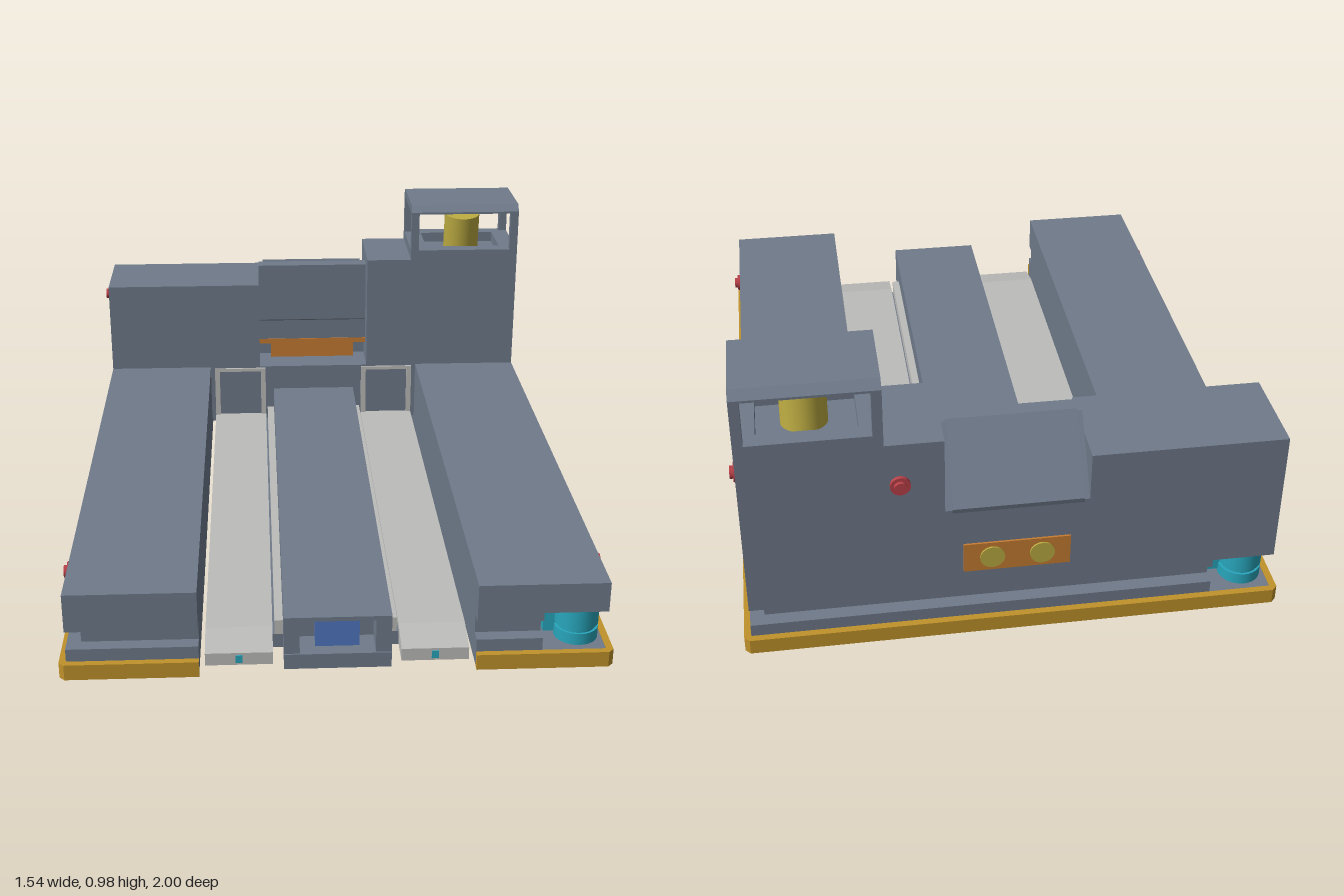
import * as THREE from 'three';

const mat = (name, color) => {
  const m = new THREE.MeshStandardMaterial({ color });
  m.name = name;
  return m;
};

export function createModel() {
  const root = new THREE.Group();
  root.name = 'forkliftRobot';
  const grey = mat('slate body', 0x6f7a8a);
  const amber = mat('amber bumper', 0xc0922a);
  const light = mat('light grey fork', 0xbcbcba);
  const orange = mat('orange', 0xc67c32);
  const yellow = mat('yellow lamp', 0xbcab42);
  const cyan = mat('cyan scanner', 0x28a6bc);
  const blue = mat('blue', 0x5076c0);
  const red = mat('red button', 0xb84048);
  const dark = mat('dark grey', 0x4c535c);

  const add = (name, geo, m, parent = root) => {
    const mesh = new THREE.Mesh(geo, m);
    mesh.name = name;
    parent.add(mesh);
    return mesh;
  };
  // box given by its limits
  const box = (name, m, x0, x1, y0, y1, z0, z1, parent) => {
    const b = add(name, new THREE.BoxGeometry(x1 - x0, y1 - y0, z1 - z0), m, parent);
    b.position.set((x0 + x1) / 2, (y0 + y1) / 2, (z0 + z1) / 2);
    return b;
  };
  const shapeOf = pts => new THREE.Shape(pts.map(p => new THREE.Vector2(p[0], p[1])));
  // plan outline in (x, z), raised from y0 to y1; holes are [x, z, radius]
  const slab = (name, m, pts, y0, y1, holes = []) => {
    const s = shapeOf(pts.map(([x, z]) => [x, -z]));
    for (const [x, z, r] of holes) {
      const p = new THREE.Path();
      p.absarc(x, -z, r, 0, Math.PI * 2, true);
      s.holes.push(p);
    }
    const g = new THREE.ExtrudeGeometry(s, { depth: y1 - y0, bevelEnabled: false, curveSegments: 20 });
    g.rotateX(-Math.PI / 2).translate(0, y0, 0);
    return add(name, g, m);
  };
  // side outline in (z, y), spread from x0 to x1
  const profile = (name, m, pts, x0, x1, parent) => {
    const g = new THREE.ExtrudeGeometry(shapeOf(pts), { depth: x1 - x0, bevelEnabled: false });
    g.rotateY(-Math.PI / 2).translate(x1, 0, 0);
    return add(name, g, m, parent);
  };
  const cyl = (name, m, r, h, x, y, z, axis = 'y', parent = root, seg = 32) => {
    const g = new THREE.CylinderGeometry(r, r, h, seg);
    if (axis === 'x') g.rotateZ(Math.PI / 2);
    if (axis === 'z') g.rotateX(Math.PI / 2);
    const c = add(name, g, m, parent);
    c.position.set(x, y, z);
    return c;
  };

  // U-shaped chassis layers; two opposite corners may be cut for scanners
  const uPlan = (ox, oz, cut) => [
    [0.385, oz],
    ...(cut ? [[0.57, oz], [0.57, 0.79], [ox, 0.79]] : [[ox, oz]]),
    [ox, -oz],
    ...(cut ? [[-0.57, -oz], [-0.57, -0.79], [-ox, -0.79]] : [[-ox, -oz]]),
    [-ox, oz], [-0.385, oz], [-0.385, -0.7], [0.385, -0.7],
  ];
  slab('chassisLedge', grey, uPlan(0.75, 0.98, true), 0.155, 0.195);
  slab('chassisGroove', grey, uPlan(0.71, 0.94, true), 0.195, 0.25);
  slab('chassisLowerBody', grey, uPlan(0.75, 0.98, true), 0.25, 0.275);
  slab('chassisUpperBody', grey, uPlan(0.75, 0.98, false), 0.275, 0.365);

  // floor plate with wheel openings and fork slots
  const floor = [
    [0.385, 0.98], [0.75, 0.98], [0.75, -0.98], [-0.75, -0.98], [-0.75, 0.98], [-0.385, 0.98],
    [-0.385, -0.78], [-0.18, -0.78], [-0.18, 0.86], [0.18, 0.86], [0.18, -0.78], [0.385, -0.78],
  ];
  const wheelSpots = [[0.555, 0.525], [-0.555, 0.525], [0.555, -0.525], [-0.555, -0.525]];
  slab('floorPlate', grey, floor, 0.112, 0.155, wheelSpots.map(([x, z]) => [x, z, 0.148]));
  cyl('floorSensor', dark, 0.045, 0.006, 0, 0.111, 0);

  // bumper strip round the outside
  slab('bumper', amber, [
    [0.385, 1], [0.755, 1], [0.77, 0.985], [0.77, -0.985], [0.755, -1],
    [-0.755, -1], [-0.77, -0.985], [-0.77, 0.985], [-0.755, 1], [-0.385, 1],
    [-0.385, 0.98], [-0.75, 0.98], [-0.75, -0.98], [0.75, -0.98], [0.75, 0.98], [0.385, 0.98],
  ], 0.11, 0.157);

  // wheels
  for (const [x, z] of wheelSpots) {
    const w = new THREE.Group();
    w.name = 'wheel';
    w.position.set(x, 0.137, z);
    root.add(w);
    cyl('tyre', orange, 0.137, 0.1, 0, 0, 0, 'x', w, 40);
    cyl('hub', blue, 0.077, 0.108, 0, 0, 0, 'x', w);
  }

  // rear housing
  box('rearBlock', grey, -0.75, -0.2, 0.365, 0.685, -0.98, -0.7);
  box('rearStep', grey, 0.2, 0.36, 0.365, 0.775, -0.98, -0.7);
  box('tower', grey, 0.36, 0.75, 0.365, 0.775, -0.98, -0.7);
  profile('consoleBody', grey, [
    [-0.98, 0.36], [-0.84, 0.36], [-0.84, 0.445], [-0.78, 0.445],
    [-0.78, 0.735], [-0.835, 0.735], [-0.98, 0.54],
  ], -0.2, 0.2);
  profile('consolePanel', grey, [
    [-0.83, 0.732], [-0.835, 0.742], [-0.983, 0.545], [-0.98, 0.53],
  ], -0.185, 0.18);
  box('consoleSeam', dark, -0.2, 0.2, 0.52, 0.523, -0.785, -0.778);
  box('consoleTrim', orange, -0.2, 0.2, 0.428, 0.446, -0.85, -0.777);
  box('sensorFront', orange, -0.157, 0.157, 0.36, 0.422, -0.85, -0.8);

  // rear lamp panel
  box('rearLampPanel', orange, -0.15, 0.15, 0.325, 0.42, -0.986, -0.978);
  for (const x of [-0.07, 0.07]) cyl('rearLamp', yellow, 0.035, 0.008, x, 0.372, -0.987, 'z');

  // tower rim, guard cage and beacon
  for (const [x0, x1, z0, z1] of [
    [0.36, 0.75, -0.98, -0.93], [0.36, 0.75, -0.75, -0.7],
    [0.36, 0.42, -0.93, -0.75], [0.69, 0.75, -0.93, -0.75],
  ]) box('towerRim', grey, x0, x1, 0.775, 0.81, z0, z1);
  for (const x of [0.36, 0.722]) {
    for (const z of [-0.98, -0.728]) box('cagePost', grey, x, x + 0.028, 0.81, 0.948, z, z + 0.028);
  }
  profile('cageRoof', grey, [
    [-0.98, 0.945], [-0.7, 0.945], [-0.7, 0.952], [-0.723, 0.975], [-0.957, 0.975], [-0.98, 0.952],
  ], 0.36, 0.75);
  cyl('beacon', yellow, 0.064, 0.14, 0.56, 0.848, -0.833).rotation.x = 0.14;

  // emergency buttons
  const button = (x, y, z, axis) => {
    cyl('buttonBase', red, 0.028, 0.014, x, y, z, axis);
    cyl('buttonCap', red, 0.018, 0.034, x, y, z, axis);
  };
  for (const s of [-1, 1]) {
    button(s * 0.754, 0.62, -0.83, 'x');
    button(s * 0.754, 0.31, 0.745, 'x');
  }
  button(0.32, 0.645, -0.984, 'z');

  // corner scanners, diagonally opposite
  for (const turn of [0, Math.PI]) {
    const g = new THREE.Group();
    g.name = 'cornerScanner';
    g.rotation.y = turn;
    root.add(g);
    cyl('scannerHead', cyan, 0.062, 0.062, 0.678, 0.237, 0.902, 'y', g);
    cyl('scannerNeck', cyan, 0.055, 0.012, 0.678, 0.2, 0.902, 'y', g);
    cyl('scannerFoot', cyan, 0.062, 0.035, 0.678, 0.177, 0.902, 'y', g);
    box('scannerBack', cyan, 0.585, 0.68, 0.17, 0.255, 0.8, 0.9, g);
  }

  // centre arm with recessed front sensor
  box('centreArm', grey, -0.15, 0.15, 0.112, 0.275, -0.72, 0.88);
  box('centreHood', grey, -0.15, 0.15, 0.262, 0.275, 0.88, 0.975);
  box('centreSill', grey, -0.15, 0.15, 0.112, 0.158, 0.88, 0.975);
  for (const s of [-1, 1]) {
    box('centreCheek', grey, s * 0.128 - 0.022, s * 0.128 + 0.022, 0.15, 0.265, 0.88, 0.97);
    box('sideRail', light, s * 0.162 - 0.012, s * 0.162 + 0.012, 0.155, 0.2, -0.7, 0.86);
  }
  box('frontSensor', blue, -0.062, 0.062, 0.165, 0.258, 0.87, 0.945);

  // forks with mast frames, undersides and rollers
  for (const s of [-1, 1]) {
    const f = new THREE.Group();
    f.name = 'fork';
    f.position.x = s * 0.275;
    root.add(f);
    profile('forkTop', light, [
      [-0.7, 0.155], [-0.7, 0.175], [0.85, 0.175], [0.95, 0.152], [0.95, 0.114], [0.87, 0.114], [0.85, 0.155],
    ], -0.095, 0.095, f);
    box('forkInner', dark, -0.08, 0.08, 0.148, 0.156, -0.7, 0.86, f);
    box('toeSensor', cyan, -0.01, 0.01, 0.121, 0.145, 0.945, 0.953, f);
    box('mastTop', light, -0.095, 0.095, 0.348, 0.36, -0.71, -0.692, f);
    for (const k of [-1, 1]) {
      box('forkSide', light, k * 0.089 - 0.006, k * 0.089 + 0.006, 0.114, 0.156, -0.7, 0.87, f);
      box('mastPost', light, k * 0.086 - 0.009, k * 0.086 + 0.009, 0.17, 0.355, -0.71, -0.692, f);
      box('pushRod', light, k * 0.035 - 0.01, k * 0.035 + 0.01, 0.124, 0.15, -0.6, 0.8, f);
    }
    for (const z of [-0.6, 0, 0.1, 0.7]) {
      box('crossBar', light, -0.085, 0.085, 0.122, 0.15, z, z + 0.03, f);
    }
    for (const z of [-0.3, 0.06, 0.6]) cyl('forkRoller', orange, 0.02, 0.04, 0, 0.133, z, 'x', f, 16);
  }
  return root;
}
